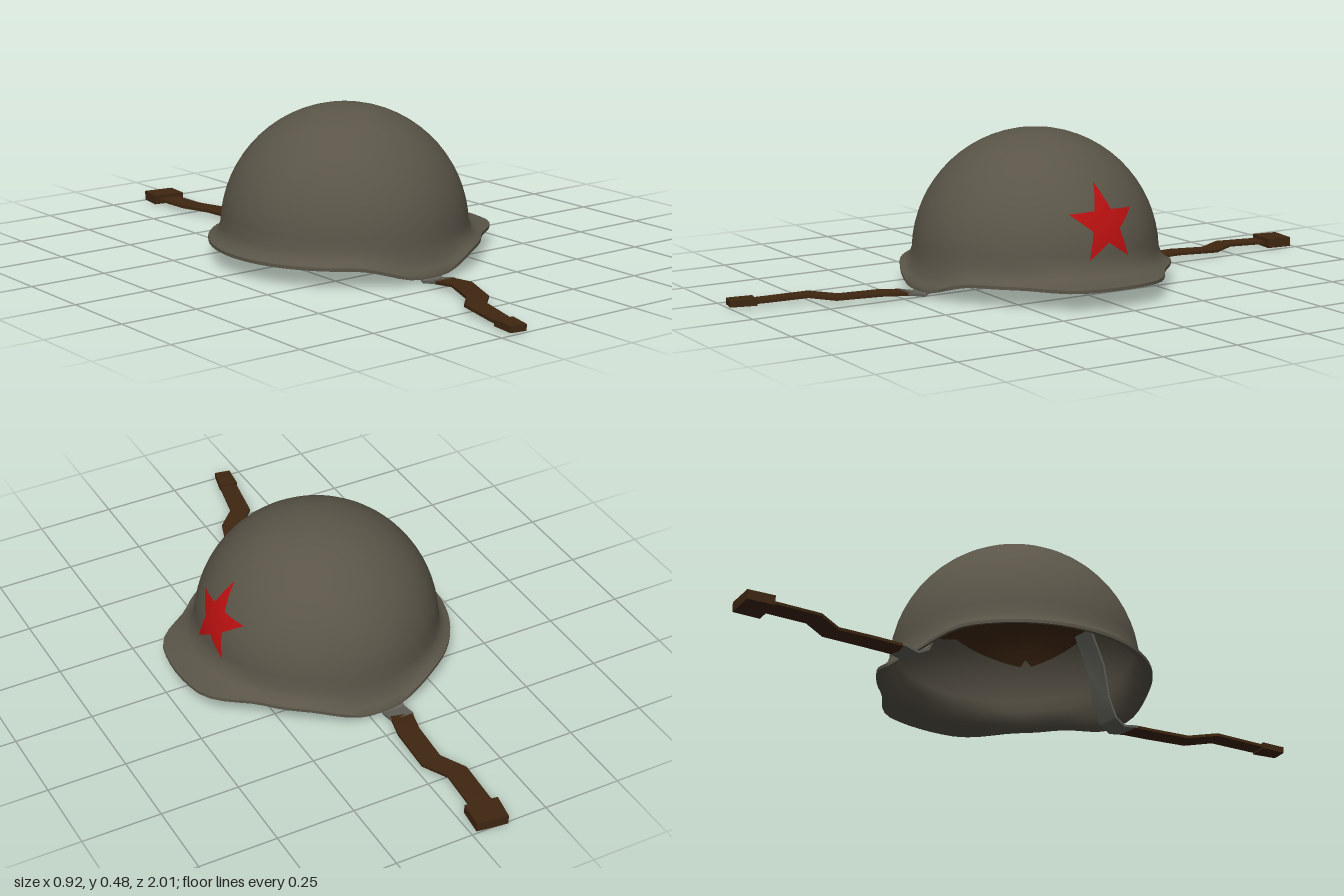
import * as THREE from 'three';
import { toCreasedNormals } from 'three/addons/utils/BufferGeometryUtils.js';

const CX = -0.033, CY = 0.1, CZ = 0.012, R = 0.387; // dome centre and radius

const mat = (name, color, side = THREE.FrontSide) => {
  const m = new THREE.MeshStandardMaterial({ color, side });
  m.name = name;
  return m;
};

// Grid surface from a rule fn(i, j) -> [x, y, z]
function surface(fn, nu, nv, crease) {
  const pos = [], index = [];
  for (let j = 0; j <= nv; j++) for (let i = 0; i <= nu; i++) pos.push(...fn(i, j));
  for (let j = 0; j < nv; j++) for (let i = 0; i < nu; i++) {
    const a = j * (nu + 1) + i, c = a + nu + 1;
    index.push(a, a + 1, c, a + 1, c + 1, c);
  }
  const g = new THREE.BufferGeometry();
  g.setAttribute('position', new THREE.Float32BufferAttribute(pos, 3));
  g.setIndex(index);
  return toCreasedNormals(g, crease);
}

const polar = (a, r, y) => [CX + r * Math.cos(a), y, CZ + r * Math.sin(a)];

// Steel shell: dome, flared rim with a visor on +x and dipping sides, lip, inner wall
function shellGeometry() {
  const nu = 72, nDome = 16, thick = 0.012;
  const flare = [[0.25, 0.4], [0.6, 0.16], [1, 0]]; // outward share, height share
  const profile = (a) => {
    const off = Math.abs(Math.atan2(Math.sin(a), Math.cos(a))) * 180 / Math.PI;
    const rim = 0.425 + 0.068 * (1 - THREE.MathUtils.smoothstep(off, 14, 40));
    const low = 0.072 - 0.042 * (1 - THREE.MathUtils.smoothstep(Math.abs(rim * Math.cos(a)), 0.04, 0.24));
    const dome = (rad) => Array.from({ length: nDome + 1 }, (_, k) => {
      const p = k / nDome * 1.532;
      return [rad * Math.sin(p), CY + rad * Math.cos(p)];
    });
    const brim = flare.map(([f, h]) => [R + (rim - R) * f, low + (0.115 - low) * h]);
    const under = brim.map(([r, y]) => [r - 0.007, y - 0.01]).reverse();
    return [...dome(R), ...brim, [rim, low - 0.01], ...under, ...dome(R - thick).reverse()];
  };
  const cols = Array.from({ length: nu + 1 }, (_, i) => profile((i % nu) / nu * Math.PI * 2));
  return surface((i, j) => polar((i % nu) / nu * Math.PI * 2, ...cols[i][j]), nu, cols[0].length - 1, 0.9);
}

// Leather lining: inner cap with four pointed, notched tongues
function linerGeometry() {
  const nu = 120, nv = 8, rad = 0.365;
  return surface((i, j) => {
    const t = ((i % nu) / nu * 4) % 1;
    const d = Math.abs(t - 0.5) * 2;
    const edge = 0.25 + 0.06 * d + (d < 0.05 ? 0.025 : 0);
    const p = Math.acos((edge - CY) / rad) * j / nv;
    return polar((i % nu) / nu * Math.PI * 2, rad * Math.sin(p), CY + rad * Math.cos(p));
  }, nu, nv, 0.9);
}

// Five-pointed star wrapped on the dome
function starGeometry() {
  const rings = 8, per = 4, nu = 10 * per;
  const corner = (k) => {
    const a = Math.PI / 2 + k * Math.PI / 5, r = k % 2 ? 0.052 : 0.122;
    return [r * Math.cos(a), r * Math.sin(a)];
  };
  return surface((i, j) => {
    const k = Math.floor(i / per), f = (i % per) / per, s = j / rings;
    const [a, b] = [corner(k), corner(k + 1)];
    const z = -0.01 - s * (a[0] + (b[0] - a[0]) * f);
    const y = 0.236 + s * (a[1] + (b[1] - a[1]) * f);
    const x = CX + Math.sqrt((R + 0.004) ** 2 - (y - CY) ** 2 - (z - CZ) ** 2);
    return [x, y, z];
  }, nu, rings, 1);
}

// Flat strap swept through points [x, y, z, width]
function strapGeometry(points, thick) {
  const v = points.map((p) => new THREE.Vector3(p[0], p[1], p[2]));
  const last = v.length - 1;
  const section = v.map((p, k) => {
    const t = v[Math.min(k + 1, last)].clone().sub(v[Math.max(k - 1, 0)]).normalize();
    const side = new THREE.Vector3(t.z, 0, -t.x).normalize();
    const up = new THREE.Vector3().crossVectors(t, side);
    return [[1, 1], [1, -1], [-1, -1], [-1, 1]].map(([a, b]) => p.clone()
      .addScaledVector(side, a * points[k][3] / 2).addScaledVector(up, b * thick / 2));
  });
  // end rows collapse to a point to cap the strap
  return surface((i, j) => {
    if (j === 0) return v[0].toArray();
    if (j === last + 2) return v[last].toArray();
    return section[j - 1][(4 - i) % 4].toArray();
  }, 4, last + 2, 0.5);
}

export function createModel() {
  const steel = mat('olive grey steel', 0x5a5548);
  const red = mat('red paint', 0xb81010, THREE.DoubleSide);
  const leather = mat('brown leather', 0x3f2711, THREE.DoubleSide);
  const webbing = mat('grey strap mount', 0x62625a, THREE.DoubleSide);

  const group = new THREE.Group();
  group.name = 'helmet';
  const add = (name, geometry, material) => {
    const m = new THREE.Mesh(geometry, material);
    m.name = name;
    group.add(m);
    return m;
  };

  add('shell', shellGeometry(), steel);
  add('liner', linerGeometry(), leather);
  add('star', starGeometry(), red);

  // Strap mounts run down the inner wall and out under the rim
  const mount = [[0.31, 0.3], [0.2, 0.352], [0.09, 0.372], [0.03, 0.4], [0.011, 0.435], [0.022, 0.49]];
  add('leftStrapMount', strapGeometry(mount.map(([y, z]) => [-0.025, y, z, 0.075]), 0.008), webbing);
  add('rightStrapMount', strapGeometry(mount.map(([y, z]) => [-0.077, y, 0.024 - z, 0.075]), 0.008), webbing);

  // Chin straps lying out to both sides
  add('leftStrap', strapGeometry([
    [-0.027, 0.02, 0.48, 0.07], [-0.028, 0.028, 0.57, 0.068], [-0.07, 0.022, 0.69, 0.066],
    [-0.135, 0.026, 0.755, 0.066], [-0.165, 0.02, 0.9, 0.058], [-0.17, 0.02, 0.93, 0.054],
  ], 0.009), leather);
  add('leftStrapTip', strapGeometry([[-0.169, 0.02, 0.915, 0.062], [-0.184, 0.02, 0.995, 0.052]], 0.02), leather);
  add('rightStrap', strapGeometry([
    [-0.078, 0.02, -0.455, 0.07], [-0.055, 0.028, -0.54, 0.07], [-0.05, 0.022, -0.68, 0.07],
    [-0.09, 0.026, -0.765, 0.07], [-0.082, 0.02, -0.94, 0.07],
  ], 0.009), leather);
  add('buckle', strapGeometry([[-0.08, 0.021, -0.915, 0.105], [-0.068, 0.021, -1, 0.1]], 0.03), leather);

  return group;
}
